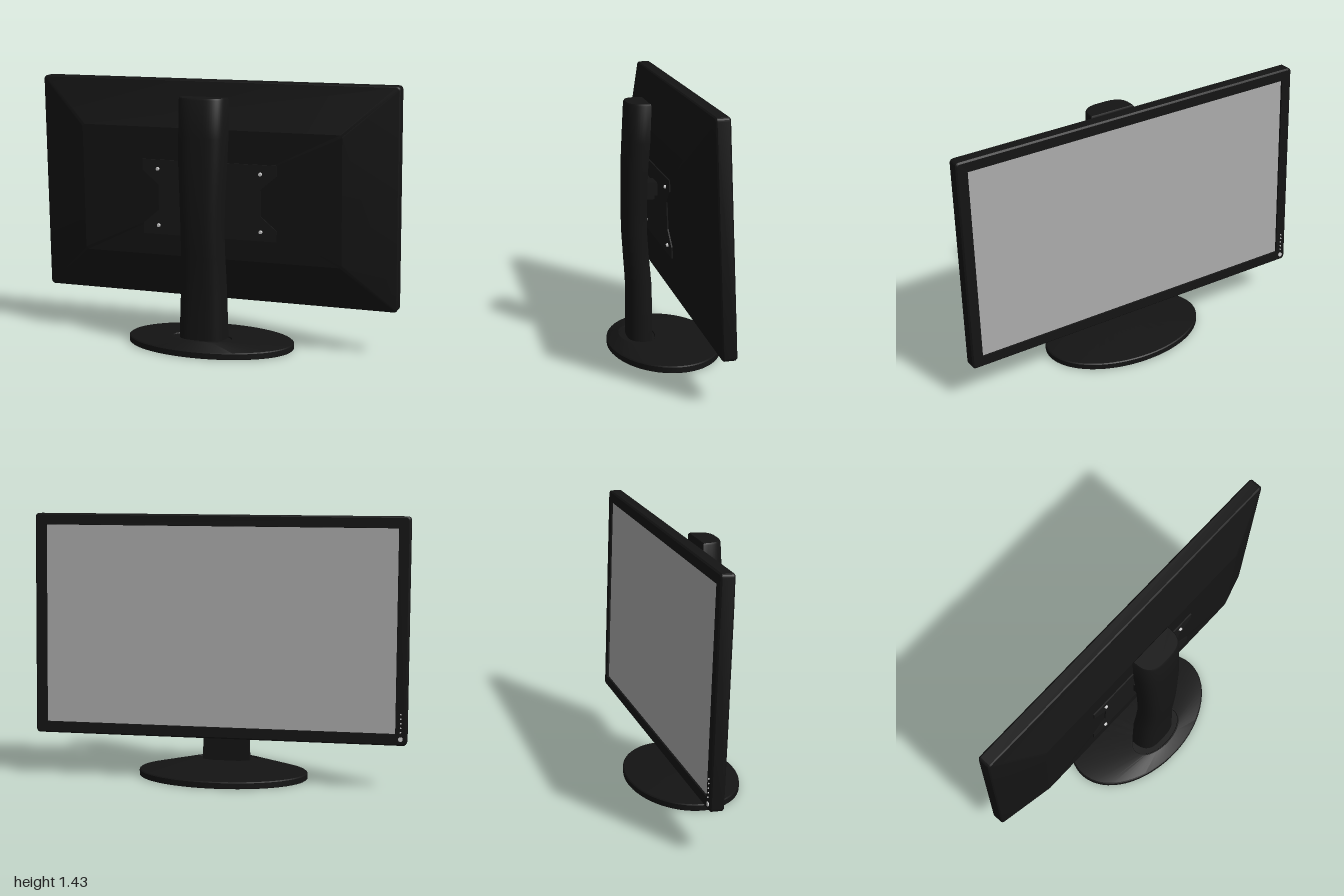
import * as THREE from 'three';
import { toCreasedNormals } from 'three/addons/utils/BufferGeometryUtils.js';

const paint = (color) => new THREE.MeshStandardMaterial({ color });
const black = paint(0x141414);
const darkGrey = paint(0x181818);
const screenGrey = paint(0xaaaaaa);
const metal = paint(0xcccccc);

function add(parent, name, geometry, material, x = 0, y = 0, z = 0) {
  const mesh = new THREE.Mesh(geometry, material);
  mesh.name = name;
  mesh.position.set(x, y, z);
  parent.add(mesh);
  return mesh;
}

// Skin through rings of equal point count, with optional fan caps.
function loft(rings, capStart, capEnd, crease = 0.5) {
  const n = rings[0].length;
  const pos = rings.flat().flatMap((p) => [p.x, p.y, p.z]);
  const index = [];
  for (let i = 0; i < rings.length - 1; i++) {
    for (let j = 0; j < n; j++) {
      const k = (j + 1) % n;
      const a = i * n + j, b = i * n + k;
      index.push(a, b, b + n, a, b + n, a + n);
    }
  }
  const cap = (row, flip) => {
    const c = rings[row].reduce((s, p) => s.add(p), new THREE.Vector3()).divideScalar(n);
    const centre = pos.length / 3;
    pos.push(c.x, c.y, c.z);
    for (let j = 0; j < n; j++) {
      const a = row * n + j, b = row * n + ((j + 1) % n);
      index.push(centre, flip ? b : a, flip ? a : b);
    }
  };
  if (capStart) cap(0, true);
  if (capEnd) cap(rings.length - 1, false);
  const geo = new THREE.BufferGeometry();
  geo.setAttribute('position', new THREE.Float32BufferAttribute(pos, 3));
  geo.setIndex(index);
  return toCreasedNormals(geo, crease);
}

// Rounded rectangle facing z.
function rectRing(hw, hh, r, z) {
  const pts = [];
  [[1, 1], [-1, 1], [-1, -1], [1, -1]].forEach(([sx, sy], q) => {
    for (let i = 0; i <= 4; i++) {
      const t = (q + i / 4) * Math.PI / 2;
      pts.push(new THREE.Vector3(sx * (hw - r) + r * Math.cos(t), sy * (hh - r) + r * Math.sin(t), z));
    }
  });
  return pts;
}

// Horizontal ellipse.
function ovalRing(a, b, y, cz) {
  return Array.from({ length: 64 }, (_, i) => {
    const t = i / 64 * Math.PI * 2;
    return new THREE.Vector3(a * Math.cos(t), y, cz - b * Math.sin(t));
  });
}

// Column section: flat towards the screen, bulging at the other side.
function columnRing([y, h, inner, outer]) {
  return Array.from({ length: 29 }, (_, i) => {
    const t = i / 28 * Math.PI;
    const c = Math.cos(t), s = Math.max(0, Math.sin(t));
    return new THREE.Vector3(-h * Math.sign(c) * Math.abs(c) ** 0.65, y, inner + (outer - inner) * s ** 0.65);
  });
}

function makeStand() {
  const stand = new THREE.Group();
  stand.name = 'stand';
  // Oval foot with a recessed underside and an off-centre raised top
  add(stand, 'base', loft([
    ovalRing(0.13, 0.09, 0.04, 0.13),
    ovalRing(0.14, 0.1, 0.012, 0.13),
    ovalRing(0.41, 0.26, 0.012, 0.023),
    ovalRing(0.42, 0.265, 0, 0.023),
    ovalRing(0.458, 0.298, 0, 0.023),
    ovalRing(0.463, 0.3025, 0.004, 0.023),
    ovalRing(0.463, 0.3025, 0.032, 0.023),
    ovalRing(0.457, 0.297, 0.037, 0.023),
    ovalRing(0.176, 0.1, 0.075, 0.165),
    ovalRing(0.168, 0.093, 0.075, 0.165),
    ovalRing(0.165, 0.09, 0.069, 0.165),
  ], true, true, 0.25), black);
  // Column rows: height, half width, inner z, outer z
  add(stand, 'column', loft([
    [0.06, 0.131, 0.107, 0.225],
    [0.22, 0.126, 0.107, 0.225],
    [0.38, 0.12, 0.108, 0.226],
    [0.52, 0.116, 0.12, 0.236],
    [0.66, 0.115, 0.13, 0.245],
    [0.83, 0.12, 0.131, 0.247],
    [1.0, 0.128, 0.127, 0.245],
    [1.15, 0.131, 0.115, 0.238],
    [1.345, 0.131, 0.107, 0.228],
    [1.355, 0.125, 0.112, 0.222],
  ].map(columnRing), true, true, 0.6), black);
  // Joint between column and mounting plate
  add(stand, 'mountBlock', new THREE.BoxGeometry(0.2, 0.09, 0.05), black, 0, 0.89, 0.112);
  add(stand, 'mountJoint', new THREE.BoxGeometry(0.12, 0.07, 0.08), black, 0, 0.89, 0.085);
  return stand;
}

function makePanel() {
  const panel = new THREE.Group();
  panel.name = 'panel';
  // Bezel, rim and sloped rear shell in one skin
  add(panel, 'housing', loft([
    rectRing(0.943, 0.533, 0.002, 0.012),
    rectRing(0.945, 0.535, 0.002, 0),
    rectRing(0.997, 0.587, 0.014, 0),
    rectRing(1.005, 0.595, 0.02, 0.008),
    rectRing(1.005, 0.595, 0.02, 0.066),
    rectRing(0.999, 0.589, 0.016, 0.073),
    rectRing(0.73, 0.35, 0.016, 0.174),
  ], false, true, 0.3), black);
  add(panel, 'screen', new THREE.BoxGeometry(1.888, 1.068, 0.02), screenGrey, 0, 0, 0.019);

  // Notched mounting plate
  const corner = [[0.377, 0.205], [0.377, 0.145], [0.288, 0.07]];
  const right = [...corner, ...corner.map(([x, y]) => [x, -y]).reverse()];
  const outline = [...right, ...right.map(([x, y]) => [-x, -y])];
  const plate = new THREE.ExtrudeGeometry(
    new THREE.Shape(outline.map(([x, y]) => new THREE.Vector2(x, y))),
    { depth: 0.012, bevelEnabled: false });
  add(panel, 'mountPlate', plate, darkGrey, 0, -0.03, 0.169);
  for (const x of [-0.29, 0.29]) {
    for (const y of [-0.155, 0.155]) {
      const screw = new THREE.CylinderGeometry(0.008, 0.011, 0.012, 16).rotateX(Math.PI / 2);
      add(panel, 'screw', screw, metal, x, y - 0.03, 0.185);
    }
  }

  // Control dots and power button in the bezel corner
  const button = (name, r, y) => add(panel, name,
    new THREE.CylinderGeometry(r, r, 0.008, 16).rotateX(Math.PI / 2), metal, -0.972, y, -0.001);
  button('powerButton', 0.012, -0.56);
  for (let i = 0; i < 5; i++) button('controlButton', 0.004, -0.525 + i * 0.024);
  return panel;
}

export function createModel() {
  const model = new THREE.Group();
  model.name = 'monitor';
  // The whole display is turned a little on its foot
  const assembly = new THREE.Group();
  assembly.name = 'assembly';
  assembly.rotation.y = 0.193;
  assembly.position.set(0.013, 0, -0.0025);
  const panel = makePanel();
  panel.position.set(0, 0.835, -0.12);
  panel.rotation.x = 0.038;
  assembly.add(makeStand(), panel);
  model.add(assembly);
  return model;
}
